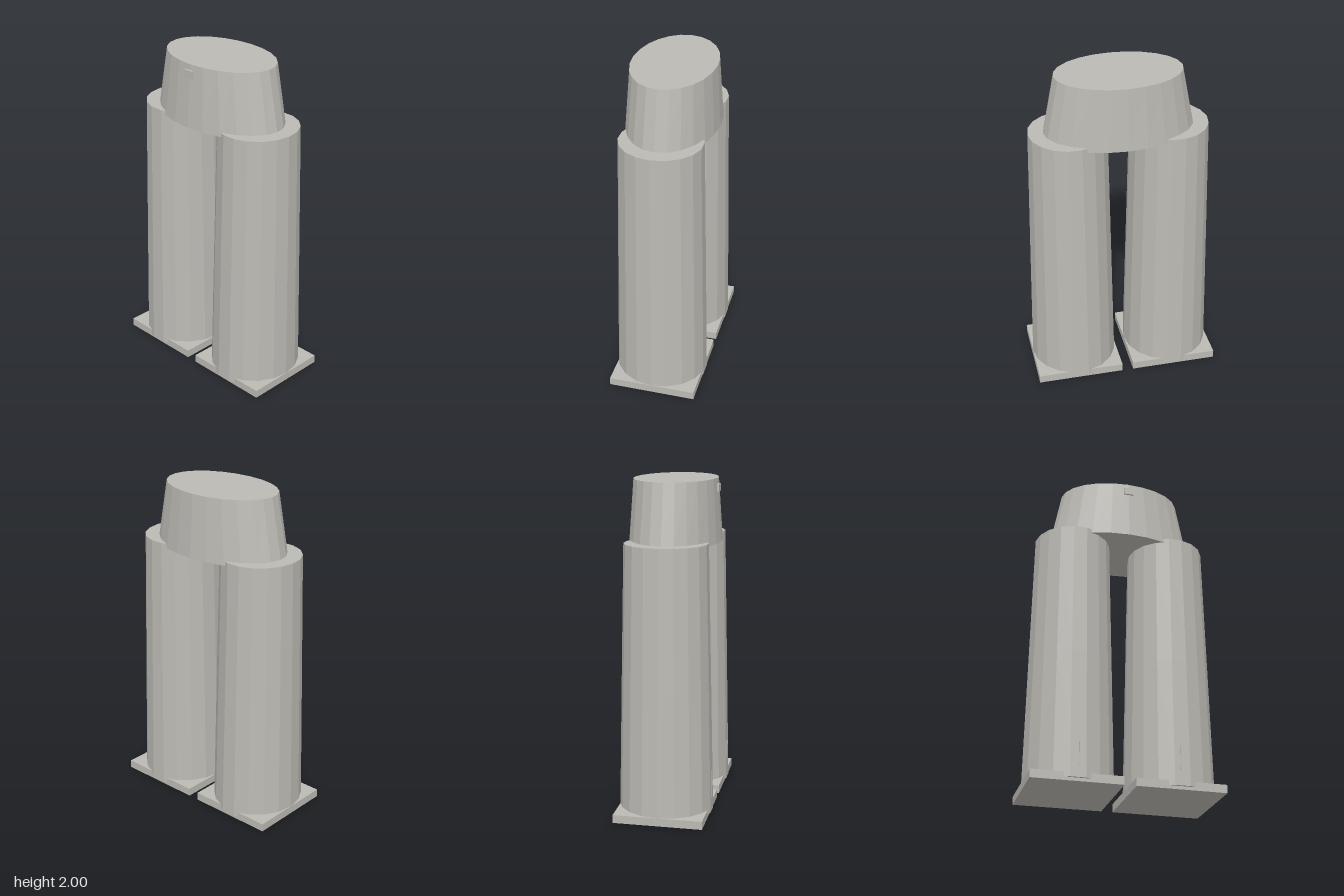
import * as THREE from 'three';

const fabric = new THREE.MeshStandardMaterial({ color: 0xbcbab4 });
fabric.name = 'light grey fabric';

function add(parent, name, geometry, x, y, z) {
  const mesh = new THREE.Mesh(geometry, fabric);
  mesh.name = name;
  mesh.position.set(x, y, z);
  parent.add(mesh);
  return mesh;
}

// Faceted elliptical lathe from [radius, height] points, closed at both ends
function facetedLathe(profile, sides, depthScale) {
  const points = [
    new THREE.Vector2(0, profile[0][1]),
    ...profile.map(([r, y]) => new THREE.Vector2(r, y)),
    new THREE.Vector2(0, profile[profile.length - 1][1]),
  ];
  const geometry = new THREE.LatheGeometry(points, sides, Math.PI / 2);
  geometry.scale(1, 1, depthScale);
  const flat = geometry.toNonIndexed();
  flat.computeVertexNormals();
  return flat;
}

export function createModel() {
  const model = new THREE.Group();
  model.name = 'trousers';

  // Waist, tapering towards the top
  const waist = new THREE.CylinderGeometry(1, 1, 0.38, 24).toNonIndexed();
  const p = waist.attributes.position;
  for (let i = 0; i < p.count; i++) {
    const top = p.getY(i) > 0;
    p.setX(i, p.getX(i) * (top ? 0.38 : 0.455));
    p.setZ(i, p.getZ(i) * (top ? 0.25 : 0.275));
  }
  waist.computeVertexNormals();
  add(model, 'waist', waist, 0, 1.81, 0);
  add(model, 'waistButton', new THREE.BoxGeometry(0.06, 0.045, 0.024), 0, 1.943, 0.252);

  for (const [side, s] of [['left', 1], ['right', -1]]) {
    const leg = new THREE.Group();
    leg.name = side + 'Leg';
    leg.position.x = s * 0.305;
    model.add(leg);

    // Trouser leg in two tapering sections
    const profile = [[0.27, 0.02], [0.254, 0.8], [0.236, 1.645]];
    add(leg, 'trouserLeg', facetedLathe(profile, 18, 1.055), 0, 0, 0);

    // Flat base plate under the hem
    add(leg, 'basePlate', new THREE.BoxGeometry(0.54, 0.05, 0.54), 0, 0.025, -0.002);

    // Pressed crease at the front of the hem
    add(leg, 'frontCrease', new THREE.BoxGeometry(0.007, 0.17, 0.01), -s * 0.008, 0.185, 0.275);
  }
  return model;
}
